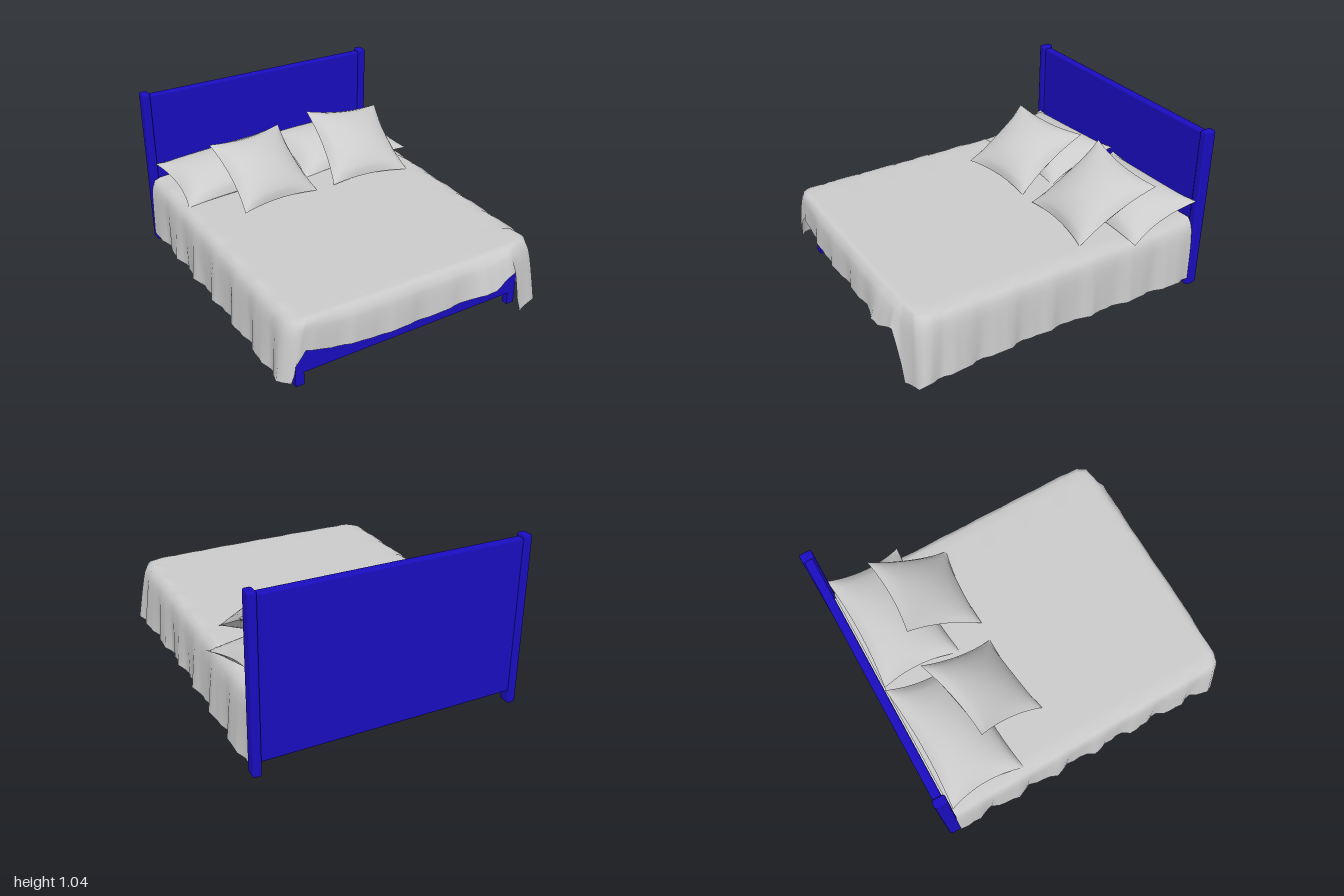
import * as THREE from 'three';
import { RoundedBoxGeometry } from 'three/addons/geometries/RoundedBoxGeometry.js';

const V = (x, y, z) => new THREE.Vector3(x, y, z);
const wood = new THREE.MeshStandardMaterial({ color: 0x1a0dc0 });
const linen = new THREE.MeshStandardMaterial({ color: 0xcccccc, side: THREE.DoubleSide });

function add(parent, name, geometry, material, x = 0, y = 0, z = 0) {
  const mesh = new THREE.Mesh(geometry, material);
  mesh.name = name;
  mesh.position.set(x, y, z);
  parent.add(mesh);
  return mesh;
}

// Draped sheet: cross-sections from the middle of the bed out over the edge to the hem
function blanketGeometry() {
  // [edge x, edge z, hem x, hem y, hem z] walking left side, front, right side
  const keys = [
    [-0.785, -0.93, -0.81, 0.06, -0.93],
    [-0.785, 0.1, -0.815, 0.085, 0.1],
    [-0.785, 0.72, -0.83, 0.07, 0.74],
    [-0.78, 0.84, -0.845, 0.09, 0.84],
    [-0.75, 0.885, -0.80, 0.10, 0.91],
    [-0.71, 0.9, -0.78, 0.21, 0.92],
    [-0.68, 0.9, -0.71, 0.28, 0.91],
    [-0.55, 0.9, -0.57, 0.245, 0.92],
    [-0.3, 0.905, -0.3, 0.222, 0.94],
    [0, 0.905, 0, 0.217, 0.935],
    [0.3, 0.905, 0.3, 0.24, 0.95],
    [0.48, 0.9, 0.48, 0.26, 0.99],
    [0.6, 0.9, 0.62, 0.32, 0.955],
    [0.67, 0.9, 0.71, 0.015, 0.95],
    [0.75, 0.885, 0.82, 0.04, 0.92],
    [0.785, 0.83, 0.85, 0.07, 0.88],
    [0.79, 0.72, 0.835, 0.07, 0.74],
    [0.79, 0.1, 0.82, 0.085, 0.1],
    [0.79, -0.93, 0.835, 0.06, -0.93],
  ];
  const stations = [];
  for (let k = 0; k < keys.length - 1; k++) {
    const a = keys[k], b = keys[k + 1];
    const n = Math.max(2, Math.ceil(Math.hypot(b[2] - a[2], b[4] - a[4]) / 0.045));
    for (let i = 0; i < n; i++) stations.push(a.map((p, c) => p + (b[c] - p) * i / n));
  }
  stations.push(keys.at(-1));

  const pos = [], index = [], down = 8;
  const cols = 5 + down;
  stations.forEach(([ex, ez, hx, hy, hz], i) => {
    const middle = V(0, 0.458, THREE.MathUtils.clamp(ez, -0.93, 0.55));
    const edge = V(ex, 0.458, ez);
    const out = V(hx - ex, 0, hz - ez).normalize();
    const side = Math.abs(ex) > 0.77;
    const ripple = (0.016 * Math.sin(i * 0.95) + 0.009 * Math.sin(i * 2.1 + 1)) * (side ? 1 : 0.5);
    // Flat top and rolled shoulder
    for (const t of [0, 0.5, 0.88, 0.96]) {
      const p = middle.clone().lerp(edge, t);
      if (t > 0.9) p.y -= 0.003 + 0.3 * ripple * (side ? 1 : 0.5);
      pos.push(p.x, p.y, p.z);
    }
    pos.push(ex, 0.443 + 0.2 * ripple, ez);
    // Hanging skirt
    for (let j = 1; j <= down; j++) {
      const t = j / down;
      const p = V(ex, 0.443, ez).lerp(V(hx, hy + 0.4 * ripple, hz), t);
      p.addScaledVector(out, ripple * t + 0.014 * Math.sin(Math.PI * Math.sqrt(t)));
      if (side) p.z = THREE.MathUtils.lerp(ez, hz, t);
      pos.push(p.x, p.y, p.z);
    }
    if (i) for (let j = 0; j < cols - 1; j++) {
      const a = (i - 1) * cols + j, b = a + cols;
      index.push(a, a + 1, b, a + 1, b + 1, b);
    }
  });
  const g = new THREE.BufferGeometry();
  g.setAttribute('position', new THREE.Float32BufferAttribute(pos, 3));
  g.setIndex(index);
  g.computeVertexNormals();
  return g;
}

// Stuffed cushion between four corners: top left, top right, bottom right, bottom left
function pillow(parent, name, [A, B, C, D], puff) {
  const group = new THREE.Group();
  group.name = name;
  const normal = B.clone().sub(A).add(C).sub(D).cross(A.clone().sub(D).add(B).sub(C)).normalize();
  for (const face of [1, -1]) {
    const g = new THREE.PlaneGeometry(2, 2, 20, 20);
    const p = g.attributes.position;
    for (let i = 0; i < p.count; i++) {
      const u = p.getX(i) * face, v = p.getY(i);
      const s = u * (1 - 0.1 * (1 - v * v)), t = v * (1 - 0.1 * (1 - u * u));
      const top = A.clone().lerp(B, (s + 1) / 2), bottom = D.clone().lerp(C, (s + 1) / 2);
      const q = bottom.lerp(top, (t + 1) / 2);
      const height = puff * Math.pow(Math.max(0, (1 - u * u) * (1 - v * v)), 0.6);
      q.addScaledVector(normal, face * height);
      p.setXYZ(i, q.x, q.y, q.z);
    }
    g.computeVertexNormals();
    add(group, face > 0 ? 'pillowFront' : 'pillowBack', g, linen);
  }
  parent.add(group);
}

export function createModel() {
  const bed = new THREE.Group();
  bed.name = 'bed';

  // Wooden frame
  const frame = new THREE.Group();
  frame.name = 'frame';
  frame.position.x = 0.008;
  bed.add(frame);
  add(frame, 'headboardPanel', new RoundedBoxGeometry(1.54, 0.94, 0.052, 1, 0.012), wood, 0, 0.55, -0.964);
  add(frame, 'bedBase', new THREE.BoxGeometry(1.49, 0.27, 1.79), wood, 0, 0.215, -0.055);
  for (const s of [-1, 1]) {
    add(frame, 'headboardPost', new RoundedBoxGeometry(0.053, 1.037, 0.076, 1, 0.014), wood, s * 0.788, 0.5185, -0.962);
    add(frame, 'frontLeg', new THREE.BoxGeometry(0.052, 0.09, 0.042), wood, s * 0.719, 0.045, 0.819);
  }

  // Bedding
  add(bed, 'mattress', new THREE.BoxGeometry(1.49, 0.09, 1.77), linen, 0.008, 0.395, -0.055);
  add(bed, 'blanket', blanketGeometry(), linen);

  // Sleeping pillows against the headboard
  pillow(bed, 'leftBackPillow',
    [V(0.04, 0.58, -0.93), V(0.81, 0.59, -0.93), V(0.85, 0.47, -0.45), V(0.05, 0.455, -0.43)], 0.105);
  pillow(bed, 'rightBackPillow',
    [V(-0.77, 0.56, -0.92), V(0.02, 0.6, -0.935), V(0.02, 0.46, -0.47), V(-0.75, 0.46, -0.45)], 0.105);

  // Square cushions leaning in front
  pillow(bed, 'leftCushion',
    [V(0.2, 0.8, -0.67), V(0.735, 0.73, -0.67), V(0.68, 0.46, -0.19), V(0.145, 0.47, -0.23)], 0.085);
  pillow(bed, 'rightCushion',
    [V(-0.53, 0.77, -0.59), V(0, 0.745, -0.695), V(0.03, 0.46, -0.24), V(-0.5, 0.48, -0.18)], 0.085);

  return bed;
}
